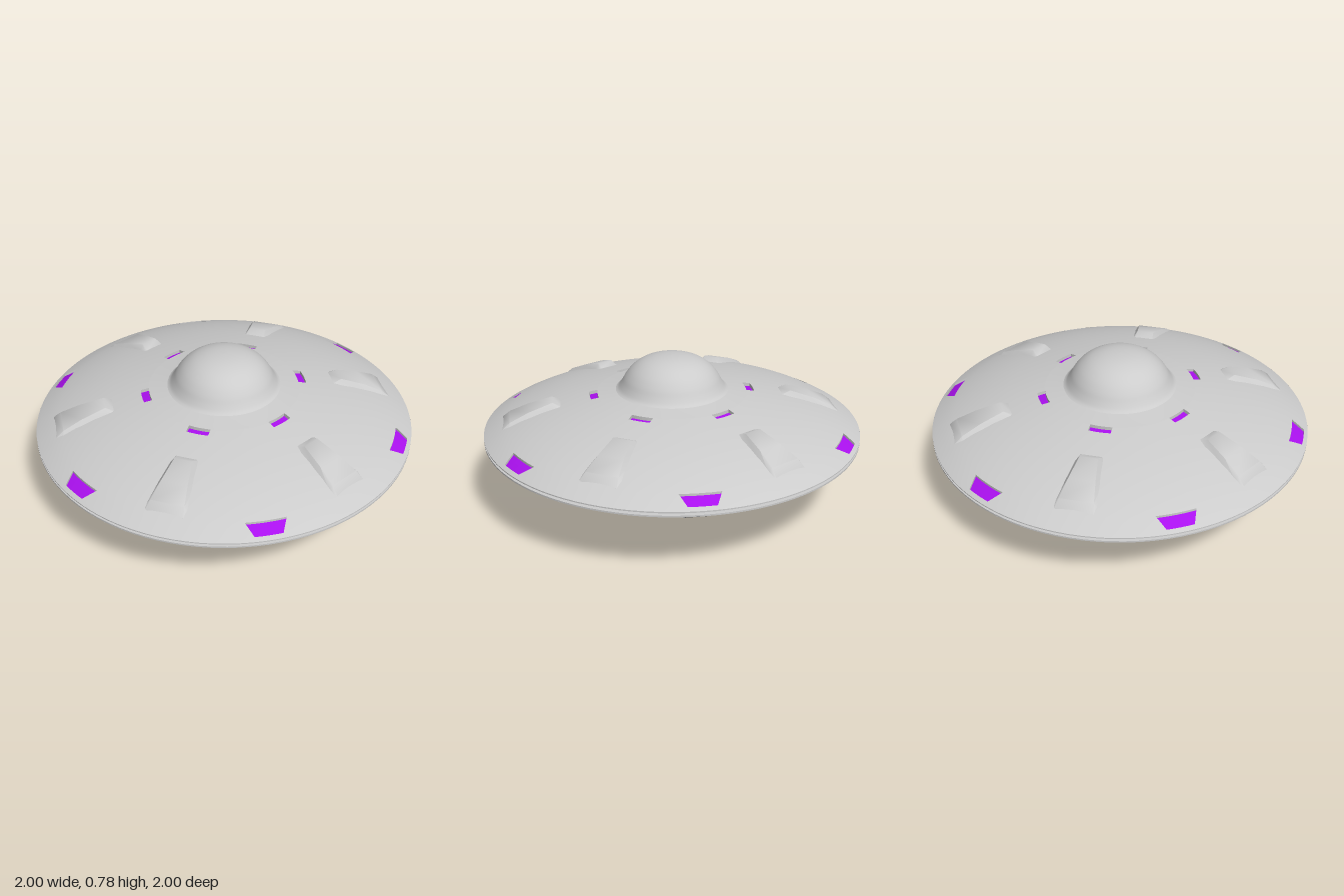
import * as THREE from 'three';
import { mergeVertices, toCreasedNormals } from 'three/addons/utils/BufferGeometryUtils.js';

const DEG = Math.PI / 180;
const PHASE = 18.8 * DEG; // direction of the first bump, slot and belly window
const SIXTH = 60 * DEG;

const grey = new THREE.MeshStandardMaterial({ color: 0xcccccc, side: THREE.DoubleSide });
const greyFlat = new THREE.MeshStandardMaterial({ color: 0xcccccc, flatShading: true, side: THREE.DoubleSide });
const purple = new THREE.MeshStandardMaterial({ color: 0xaa10ee, side: THREE.DoubleSide });

// Hull profiles as [radius, height]
const TOP = [[0.28, 0.6], [0.33, 0.592], [0.4, 0.582], [0.5, 0.564], [0.6, 0.543], [0.7, 0.518],
  [0.8, 0.487], [0.88, 0.456], [0.94, 0.428], [0.98, 0.407], [1, 0.395]];
const BELLY = [[0, 0.07], [0.1, 0.07], [0.14, 0.1], [0.2, 0.145], [0.26, 0.172], [0.36, 0.196], [0.5, 0.217],
  [0.65, 0.245], [0.79, 0.281], [0.9, 0.32], [0.96, 0.346], [1, 0.368]];

// Window shapes: radii, half widths at those radii, recess depth
const SLOT = { r0: 0.396, r1: 0.438, w0: 0.057, w1: 0.057, depth: 0.018 };
const RIM_WINDOW = { r0: 0.915, r1: 0.98, w0: 0.1, w1: 0.068, depth: 0.012 };
const BELLY_WINDOW = { r0: 0.35, r1: 0.78, w0: 0.04, w1: 0.09, depth: 0.02 };

function heightAt(profile, r) {
  let i = 1;
  while (i < profile.length - 1 && profile[i][0] < r) i++;
  const [r0, y0] = profile[i - 1], [r1, y1] = profile[i];
  return THREE.MathUtils.mapLinear(r, r0, r1, y0, y1);
}

// Half the angle a window spans at radius r
function halfAngle(win, r) {
  if (!win) return 8 * DEG;
  const c = THREE.MathUtils.clamp(r, win.r0, win.r1);
  return Math.asin(THREE.MathUtils.mapLinear(c, win.r0, win.r1, win.w0, win.w1) / c);
}

function geometryOf(positions) {
  const g = new THREE.BufferGeometry();
  g.setAttribute('position', new THREE.Float32BufferAttribute(positions, 3));
  return g;
}

function addMesh(group, name, geometry, material) {
  const m = new THREE.Mesh(geometry, material);
  m.name = name;
  group.add(m);
  return m;
}

// Round shell with six recessed windows of kind a, and six of kind b halfway between them
function windowedShell(name, profile, a, b, up) {
  const wins = [a, b].filter(Boolean);
  const radii = [...new Set([...profile.map((p) => p[0]), ...wins.flatMap((w) => [w.r0, w.r1])])].sort((p, q) => p - q);
  const hull = [], floor = [], walls = [];

  // Columns follow the window edges: 4 cells on a, 8 plain, 4 on b, 8 plain
  const angle = (r, j) => {
    const s = Math.floor(j / 24), k = j % 24;
    const ha = halfAngle(a, r), hb = halfAngle(b, r), mid = SIXTH / 2;
    const stops = [[0, -ha], [4, ha], [12, mid - hb], [16, mid + hb], [24, SIXTH - ha]];
    let i = 1;
    while (stops[i][0] < k) i++;
    return PHASE + s * SIXTH + THREE.MathUtils.mapLinear(k, stops[i - 1][0], stops[i][0], stops[i - 1][1], stops[i][1]);
  };
  const point = (r, j, depth = 0) => {
    const t = angle(r, j % 144);
    return [r * Math.cos(t), heightAt(profile, r) + (up ? -depth : depth), r * Math.sin(t)];
  };
  const quad = (out, p, q, s, t) => {
    const o = up ? [p, t, s, p, s, q] : [p, q, s, p, s, t];
    o.forEach((v) => out.push(...v));
  };

  for (let i = 0; i < radii.length - 1; i++) {
    const r0 = radii[i], r1 = radii[i + 1];
    for (let j = 0; j < 144; j++) {
      const k = j % 24;
      const win = k < 4 ? a : k >= 12 && k < 16 ? b : null;
      const open = win && r0 >= win.r0 && r1 <= win.r1;
      const cell = (d) => [point(r0, j, d), point(r1, j, d), point(r1, j + 1, d), point(r0, j + 1, d)];
      const rim = cell(0);
      if (!open) { quad(hull, ...rim); continue; }
      const low = cell(win.depth);
      quad(floor, ...low);
      const wall = (m, n) => quad(walls, rim[m], rim[n], low[n], low[m]);
      if (k % 12 === 0) wall(0, 1);
      if (k % 12 === 3) wall(2, 3);
      if (r0 === win.r0) wall(3, 0);
      if (r1 === win.r1) wall(1, 2);
    }
  }
  const group = new THREE.Group();
  group.name = name;
  const smooth = mergeVertices(geometryOf(hull), 1e-5);
  smooth.computeVertexNormals();
  addMesh(group, name + 'Shell', smooth, grey);
  for (const [part, data, mat] of [['WindowWalls', walls, greyFlat], ['WindowPanes', floor, purple]]) {
    const g = geometryOf(data);
    g.computeVertexNormals();
    addMesh(group, name + part, g, mat);
  }
  return group;
}

// Radial ridge lofted from [radius, base height, crest height, base half width, crest half width]
function ridgeGeometry(sections, crease) {
  const pos = [], index = [];
  sections.forEach(([r, yb, yc, wb, wc]) => pos.push(r, yb, -wb, r, yc, -wc, r, yc, wc, r, yb, wb));
  for (let i = 0; i < sections.length - 1; i++) {
    for (let k = 0; k < 4; k++) {
      const p = i * 4 + k, q = i * 4 + (k + 1) % 4;
      index.push(p, q, q + 4, p, q + 4, p + 4);
    }
  }
  const e = (sections.length - 1) * 4;
  index.push(0, 2, 1, 0, 3, 2, e, e + 1, e + 2, e, e + 2, e + 3);
  const g = geometryOf(pos);
  g.setIndex(index);
  return toCreasedNormals(g, crease);
}

function lathe(points) {
  return toCreasedNormals(new THREE.LatheGeometry(points.map(([x, y]) => new THREE.Vector2(x, y)), 96), 0.7);
}

export function createModel() {
  const model = new THREE.Group();
  model.name = 'flyingSaucer';

  model.add(windowedShell('upperHull', TOP, SLOT, RIM_WINDOW, true));
  model.add(windowedShell('lowerHull', BELLY, BELLY_WINDOW, null, false));

  // Grooved rim
  addMesh(model, 'rim', lathe([[1, 0.368], [1, 0.376], [0.98, 0.377], [0.98, 0.388], [1, 0.389], [1, 0.395]]), grey);

  // Dome with a flared collar
  const outline = new THREE.SplineCurve([[0.308, 0.592], [0.286, 0.606], [0.266, 0.635], [0.245, 0.672], [0.212, 0.712],
    [0.165, 0.746], [0.11, 0.767], [0.055, 0.777], [0, 0.78]].map(([x, y]) => new THREE.Vector2(x, y)));
  const dome = new THREE.LatheGeometry(outline.getPoints(28).map((p) => new THREE.Vector2(Math.max(p.x, 0), p.y)), 72);
  addMesh(model, 'dome', dome, grey);

  // Soft wedge bumps on the upper hull
  const bump = ridgeGeometry([[0.59, 0.008, -0.002, 0.066, 0.052], [0.635, 0.008, 0.028, 0.072, 0.046],
    [0.76, 0.008, 0.023, 0.09, 0.066], [0.86, 0.008, 0.014, 0.104, 0.084],
    [0.9, 0.008, -0.002, 0.106, 0.092]].map(([r, sink, rise, wb, wc]) => {
    const y = heightAt(TOP, r);
    return [r, y - sink, y + rise, wb, wc];
  }), 0.9);

  // Belly struts running down into the feet
  const strut = ridgeGeometry([[0.095, 0.1, 0, 0.046, 0.043], [0.155, 0.14, 0, 0.052, 0.044], [0.185, 0.16, 0.025, 0.054, 0.044],
    [0.225, 0.18, 0.085, 0.056, 0.042], [0.27, 0.2, 0.116, 0.06, 0.04], [0.53, 0.25, 0.15, 0.066, 0.042],
    [0.68, 0.28, 0.203, 0.07, 0.05], [0.79, 0.31, 0.248, 0.074, 0.058], [0.88, 0.335, 0.31, 0.078, 0.066]], 0.5);

  for (let i = 0; i < 6; i++) {
    addMesh(model, 'hullBump', bump, grey).rotation.y = -(PHASE + i * SIXTH);
    addMesh(model, 'strutWithFoot', strut, grey).rotation.y = -(PHASE + (i + 0.5) * SIXTH);
  }
  return model;
}
